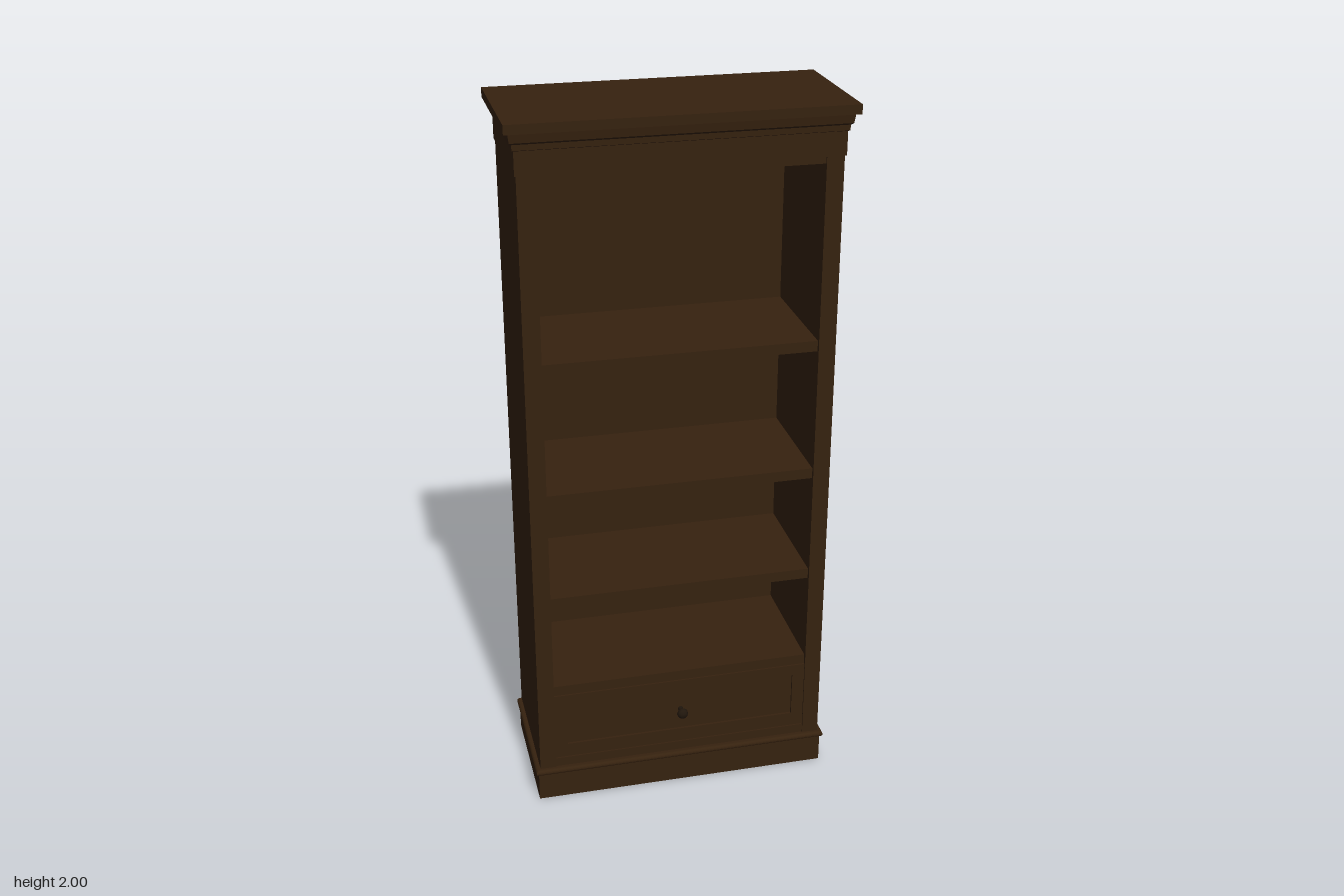
import * as THREE from 'three';

const W = 0.42, FRONT = 0.17, BACK = -0.2, IN = 0.373;

export function createModel() {
  const group = new THREE.Group();
  group.name = 'bookcase';
  const wood = new THREE.MeshStandardMaterial({ color: 0x36220f });
  wood.name = 'dark walnut';
  const metal = new THREE.MeshStandardMaterial({ color: 0x21170d });
  metal.name = 'dark knob';

  const add = (name, geometry, material = wood) => {
    const mesh = new THREE.Mesh(geometry, material);
    mesh.name = name;
    group.add(mesh);
    return mesh;
  };
  // box given by its limits on each axis
  const box = (name, x0, x1, y0, y1, z0, z1) =>
    add(name, new THREE.BoxGeometry(x1 - x0, y1 - y0, z1 - z0))
      .position.set((x0 + x1) / 2, (y0 + y1) / 2, (z0 + z1) / 2);

  // mitred moulding: [outward offset, height] profile, flush at the back
  const moulding = (name, profile) => {
    const pos = [];
    const ring = ([o, y]) => [
      [-W - o, y, FRONT + o], [W + o, y, FRONT + o], [W + o, y, BACK], [-W - o, y, BACK],
    ];
    const quad = (a, b, c, d) => pos.push(...a, ...b, ...c, ...a, ...c, ...d);
    const rings = profile.map(ring);
    for (let i = 0; i < rings.length - 1; i++) {
      const lo = rings[i], hi = rings[i + 1];
      for (let k = 0; k < 4; k++) {
        const n = (k + 1) % 4;
        quad(lo[k], lo[n], hi[n], hi[k]);
      }
    }
    const [a, b, c, d] = rings[0];
    quad(d, c, b, a);
    quad(...rings[rings.length - 1]);
    const g = new THREE.BufferGeometry();
    g.setAttribute('position', new THREE.Float32BufferAttribute(pos, 3));
    g.computeVertexNormals();
    add(name, g);
  };

  // plinth with a half-round bead on top
  const bead = [];
  for (let i = 0; i <= 8; i++) {
    const t = -Math.PI / 2 + (i / 8) * Math.PI;
    bead.push([0.006 + 0.008 * Math.cos(t), 0.092 + 0.009 * Math.sin(t)]);
  }
  moulding('plinth', [[0.006, 0], ...bead, [0, 0.101]]);

  // stepped crown above a plain frieze
  moulding('cornice', [
    [0.004, 1.865], [0.004, 1.928], [0.008, 1.93], [0.009, 1.945], [0.015, 1.95],
    [0.018, 1.972], [0.03, 1.975], [0.03, 2],
  ]);

  // carcass
  for (const s of [-1, 1]) {
    box(s > 0 ? 'leftSide' : 'rightSide',
      Math.min(s * IN, s * W), Math.max(s * IN, s * W), 0.1, 1.866, BACK, FRONT);
  }
  box('backPanel', -IN, IN, 0.1, 1.866, BACK, -0.187);
  box('topRail', -IN, IN, 1.845, 1.866, -0.187, FRONT - 0.005);
  box('bottomRail', -IN, IN, 0.1, 0.128, -0.187, FRONT - 0.003);

  // shelves, the lowest one covering the drawer
  [0.98, 1.36, 0.66, 0.37].forEach((top) =>
    box('shelf', -IN, IN, top - 0.03, top, -0.187, FRONT - 0.01));

  // drawer front with a sunken centre panel
  const outline = new THREE.Shape([
    [-IN, 0.13], [IN, 0.13], [IN, 0.34], [-IN, 0.34],
  ].map(([x, y]) => new THREE.Vector2(x, y)));
  outline.holes.push(new THREE.Path([
    [-0.337, 0.172], [-0.337, 0.306], [0.337, 0.306], [0.337, 0.172],
  ].map(([x, y]) => new THREE.Vector2(x, y))));
  add('drawerFrame', new THREE.ExtrudeGeometry(outline, { depth: 0.02, bevelEnabled: false }))
    .position.z = FRONT - 0.025;
  box('drawerPanel', -0.345, 0.345, 0.165, 0.313, 0.13, FRONT - 0.012);

  // turned knob
  const knob = add('drawerKnob', new THREE.LatheGeometry([
    [0.008, 0], [0.006, 0.014], [0.012, 0.02], [0.016, 0.026], [0.014, 0.034], [0.008, 0.038], [0, 0.039],
  ].map(([r, y]) => new THREE.Vector2(r, y)), 20), metal);
  knob.rotation.x = Math.PI / 2;
  knob.position.set(0, 0.238, FRONT - 0.013);

  return group;
}
